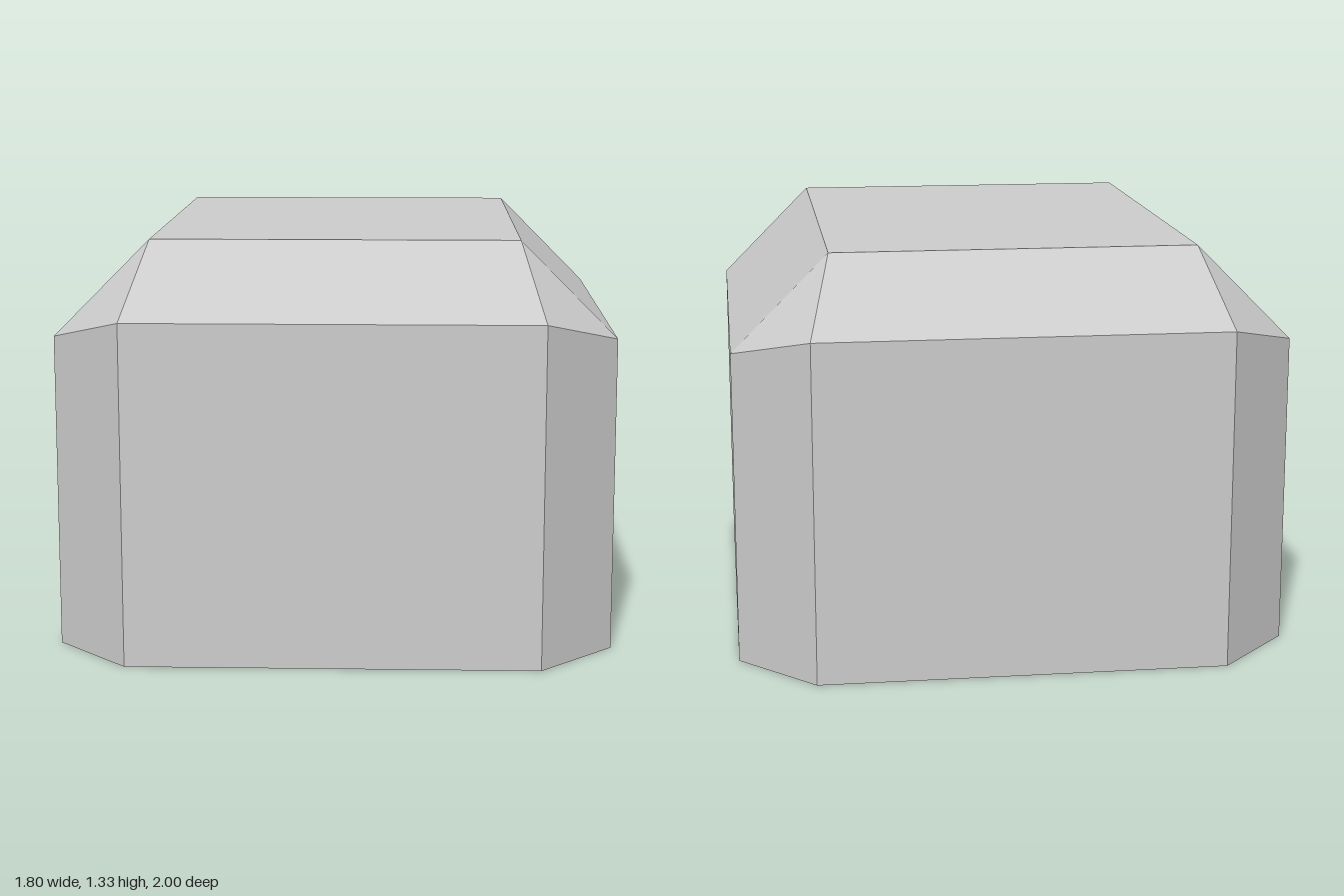
import * as THREE from 'three';

// Quarter corner of each ring: [x, y, z] for the end-wall point, then the side-wall point
const RINGS = [
  [[0.66, 0, 1], [0.9, 0, 0.75]],
  [[0.66, 1.1, 1], [0.9, 1.02, 0.75]],
  [[0.588, 1.333, 0.75], [0.588, 1.333, 0.75]],
];

// Mirror the corner into a closed ring of eight points, counter-clockwise from above
function fullRing([end, side]) {
  const flip = ([x, y, z], sx, sz) => [x * sx, y, z * sz];
  return [
    end, side,
    flip(side, 1, -1), flip(end, 1, -1),
    flip(end, -1, -1), flip(side, -1, -1),
    flip(side, -1, 1), flip(end, -1, 1),
  ];
}

function shellGeometry() {
  const rings = RINGS.map(fullRing);
  const positions = [];
  const tri = (...points) => points.forEach((p) => positions.push(...p));

  // Walls, then the sloping shoulders; corner shoulders close to a single triangle
  for (let r = 0; r < rings.length - 1; r++) {
    for (let i = 0; i < 8; i++) {
      const j = (i + 1) % 8;
      const a = rings[r][i], b = rings[r][j];
      const c = rings[r + 1][j], d = rings[r + 1][i];
      tri(a, b, c);
      if (c.some((v, k) => v !== d[k])) tri(a, c, d);
    }
  }

  // Flat roof; the bottom stays open
  const top = rings[2];
  tri(top[0], top[2], top[4]);
  tri(top[0], top[4], top[6]);

  const geometry = new THREE.BufferGeometry();
  geometry.setAttribute('position', new THREE.Float32BufferAttribute(positions, 3));
  geometry.computeVertexNormals();
  return geometry;
}

export function createModel() {
  const group = new THREE.Group();
  group.name = 'chamferedCover';
  const material = new THREE.MeshStandardMaterial({
    color: 0xcccccc, flatShading: true, side: THREE.DoubleSide,
  });
  const shell = new THREE.Mesh(shellGeometry(), material);
  shell.name = 'openBottomShell';
  group.add(shell);
  return group;
}
